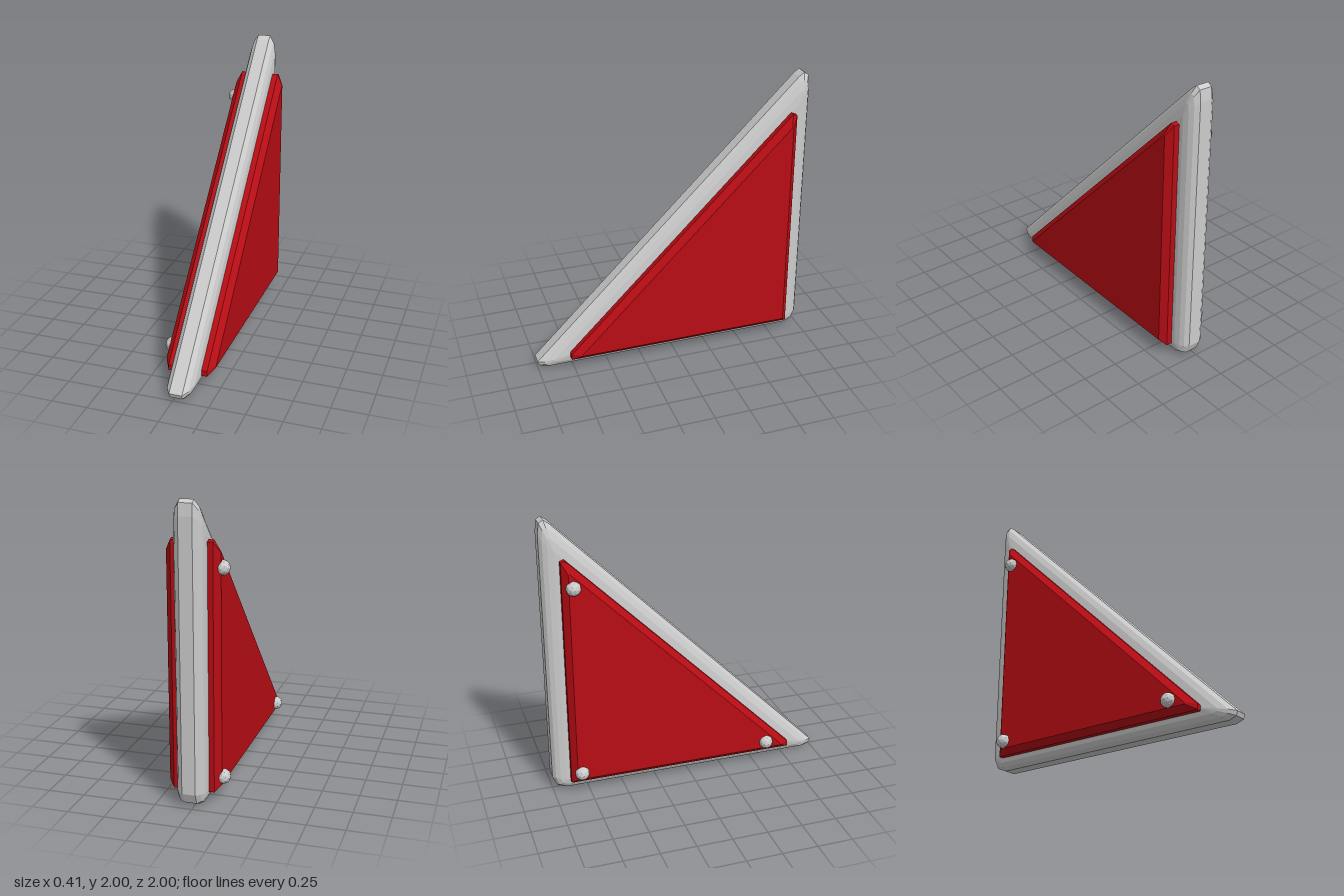
import * as THREE from 'three';

const grey = new THREE.MeshStandardMaterial({ color: 0xcccccc, flatShading: true });
const red = new THREE.MeshStandardMaterial({ color: 0xb80d14, flatShading: true });

// Closed solid through outlines of [z, y] points stacked along x
function loft(rings) {
  const pos = [];
  const tri = (...corners) => corners.forEach(([r, i]) => {
    const [z, y] = rings[r].outline[i];
    pos.push(rings[r].x, y, z);
  });
  const n = rings[0].outline.length, last = rings.length - 1;
  for (let r = 0; r < last; r++) {
    for (let i = 0; i < n; i++) {
      const j = (i + 1) % n;
      tri([r, i], [r, j], [r + 1, j]);
      tri([r, i], [r + 1, j], [r + 1, i]);
    }
  }
  for (let i = 1; i < n - 1; i++) {
    tri([last, 0], [last, i], [last, i + 1]);
    tri([0, 0], [0, i + 1], [0, i]);
  }
  const geo = new THREE.BufferGeometry();
  geo.setAttribute('position', new THREE.Float32BufferAttribute(pos, 3));
  geo.computeVertexNormals();
  return geo;
}

// Slab mirrored about x = centre; steps are [half width, blend from outer to inner outline]
function bevelledSlab(centre, outer, inner, steps) {
  const ring = (side) => ([half, t]) => ({
    x: centre + side * half,
    outline: outer.map(([z, y], i) => [
      THREE.MathUtils.lerp(z, inner[i][0], t),
      THREE.MathUtils.lerp(y, inner[i][1], t),
    ]),
  });
  return loft([...[...steps].reverse().map(ring(-1)), ...steps.map(ring(1))]);
}

export function createModel() {
  const group = new THREE.Group();
  const add = (name, geometry, material) => {
    const mesh = new THREE.Mesh(geometry, material);
    mesh.name = name;
    group.add(mesh);
    return mesh;
  };

  // Triangular rim with blunted corners and a rounded edge
  const corner = [-0.9, 0.1], apex = [-0.9, 1.77], nose = [0.77, 0.1];
  const rimOuter = [
    [-0.9, 0], [-0.97, 0.03], [-1, 0.1],
    [-1, 1.9], [-0.99, 1.98], [-0.96, 2], [-0.92, 1.97],
    [0.97, 0.08], [1, 0.05], [0.99, 0.02], [0.94, 0],
  ];
  const rimInner = [
    corner, corner, corner, apex, apex, apex, apex, nose, nose, nose, nose,
  ];
  add('rim', bevelledSlab(0.02, rimOuter, rimInner,
    [[0.045, 0], [0.075, 0.2], [0.092, 0.5], [0.1, 0.9]]), grey);

  // Red panel standing proud of the rim on both sides
  const panelOuter = [[-0.88, 0.08], [-0.88, 1.73], [-0.85, 1.74], [0.77, 0.12], [0.77, 0.08]];
  const panelInner = [[-0.84, 0.12], [-0.84, 1.66], [-0.83, 1.66], [0.7, 0.13], [0.7, 0.12]];
  add('panel', bevelledSlab(0.0225, panelOuter, panelInner,
    [[0.1375, 0], [0.1775, 1]]), red);

  // Round studs at the corners of the right face
  const stud = new THREE.IcosahedronGeometry(0.051, 1);
  for (const [y, z] of [[0.17, -0.81], [1.56, -0.81], [0.17, 0.58]]) {
    add('stud', stud, grey).position.set(-0.155, y, z);
  }
  return group;
}
